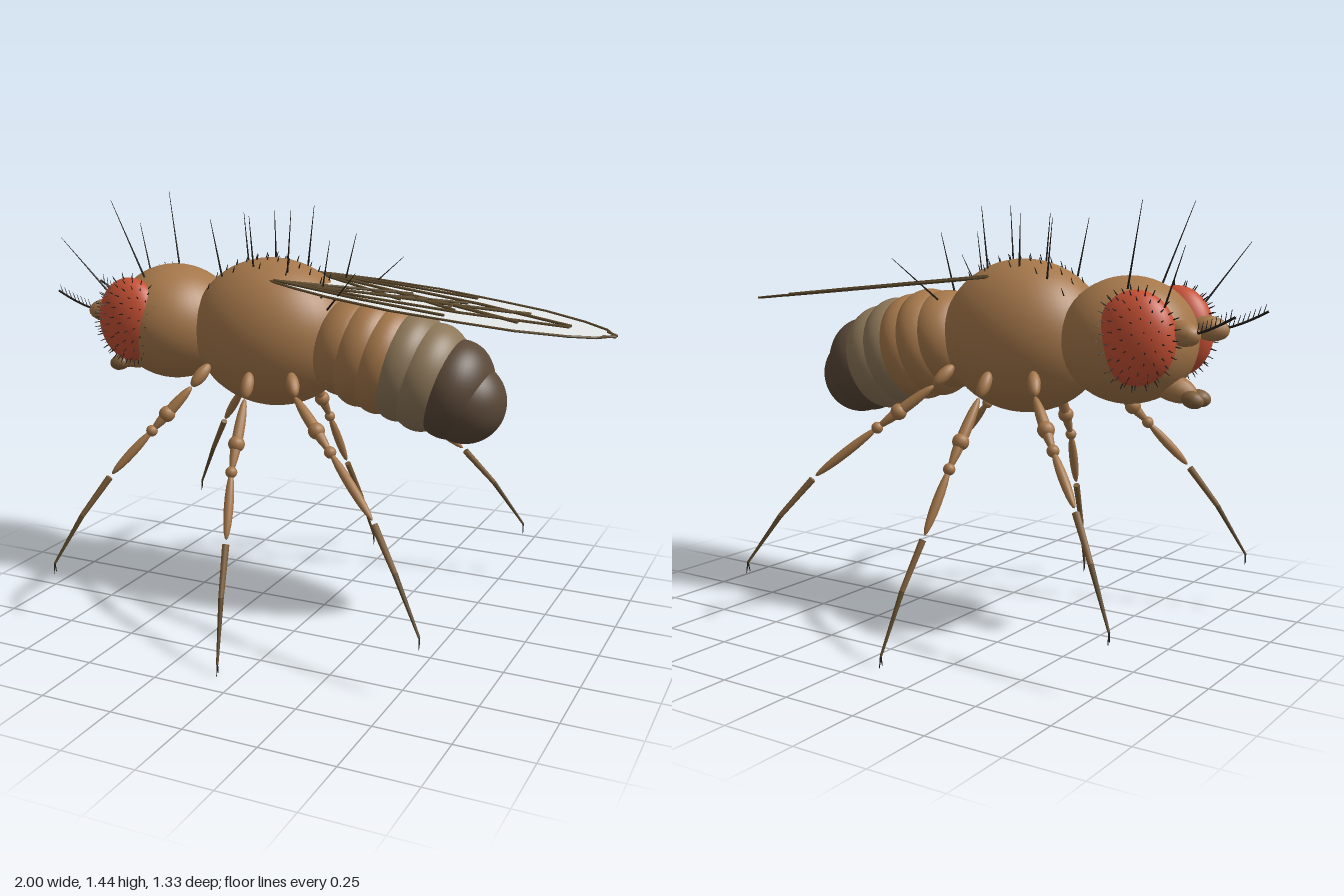
import * as THREE from 'three';

const mat = (name, color, side = THREE.FrontSide) => {
  const m = new THREE.MeshStandardMaterial({ color, side });
  m.name = name;
  return m;
};
const V = (x, y, z) => new THREE.Vector3(x, y, z);
const UP = V(0, 1, 0);

export function createModel() {
  const model = new THREE.Group();
  model.name = 'fly';
  const tan = mat('tan body', 0xa5774a);
  const greyTan = mat('grey tan', 0x8c7658);
  const dark = mat('dark brown', 0x5a4838);
  const red = mat('eye red', 0xc65034);
  const wingMat = mat('wing grey', 0xe3e7e7, THREE.DoubleSide);
  const vein = mat('vein brown', 0x5e4a2c);
  const tarsusMat = mat('tarsus brown', 0x7d5d39);
  const black = mat('bristle black', 0x1e1a16);

  const sphere = new THREE.SphereGeometry(1, 40, 28);
  const smallSphere = new THREE.SphereGeometry(1, 14, 10);

  const add = (parent, name, geo, material) => {
    const m = new THREE.Mesh(geo, material);
    m.name = name;
    parent.add(m);
    return m;
  };
  const group = (name, parent = model) => {
    const g = new THREE.Group();
    g.name = name;
    parent.add(g);
    return g;
  };
  const blob = (parent, name, material, pos, r, geo = sphere) => {
    const m = add(parent, name, geo, material);
    m.position.set(...pos);
    m.scale.set(...r);
    return m;
  };
  // Tapered rod from a to b
  const rod = (parent, name, material, a, b, r0, r1, sides = 5) => {
    const d = b.clone().sub(a);
    const m = add(parent, name, new THREE.CylinderGeometry(r1, r0, d.length(), sides), material);
    m.position.copy(a).add(b).multiplyScalar(0.5);
    m.quaternion.setFromUnitVectors(UP, d.normalize());
    return m;
  };
  // Long ellipsoid from a to b
  const spindle = (parent, name, material, a, b, r) => {
    const d = b.clone().sub(a);
    const m = add(parent, name, smallSphere, material);
    m.position.copy(a).add(b).multiplyScalar(0.5);
    m.scale.set(r, d.length() / 2, r);
    m.quaternion.setFromUnitVectors(UP, d.normalize());
    return m;
  };

  // Head and thorax
  blob(model, 'head', tan, [-0.587, 1.0, 0], [0.225, 0.205, 0.215]);
  blob(model, 'thorax', tan, [-0.195, 0.992, 0], [0.295, 0.258, 0.225]);

  // Abdomen: overlapping tilted segments [x, y, height radius, width radius, half length]
  const abdomen = group('abdomen');
  [
    [0.1, 0.965, 0.172, 0.175, 0.13, tan], [0.17, 0.95, 0.19, 0.19, 0.12, tan],
    [0.24, 0.931, 0.189, 0.189, 0.12, tan], [0.312, 0.914, 0.19, 0.185, 0.12, greyTan],
    [0.387, 0.885, 0.187, 0.178, 0.13, greyTan], [0.473, 0.853, 0.17, 0.163, 0.13, dark],
    [0.512, 0.815, 0.14, 0.133, 0.137, dark],
  ].forEach(([x, y, h, w, l, m], i) => {
    blob(abdomen, 'abdomenSegment' + (i + 1), m, [x, y, 0], [l, h, w]).rotation.z = -0.25;
  });

  // Proboscis
  const mouth = group('proboscis');
  spindle(mouth, 'proboscisBase', tan, V(-0.66, 0.88, 0), V(-0.825, 0.835, 0), 0.045);

  const wingY = (x) => 1.19 - 0.102 * (x + 0.14);
  const outline = [[-0.14, 0.13], [-0.03, 0.17], [0.1, 0.205], [0.33, 0.23], [0.55, 0.21], [0.72, 0.185],
    [0.87, 0.125], [0.95, 0.07], [0.995, -0.01], [0.96, -0.035], [0.84, -0.045], [0.62, -0.08],
    [0.4, -0.08], [0.2, -0.065], [0.02, -0.02]];
  const veins = [
    [[-0.13, 0.125], [0.2, 0.165], [0.49, 0.17]],
    [[-0.13, 0.125], [0.2, 0.12], [0.52, 0.09], [0.85, 0.01]],
    [[-0.1, 0.12], [0.2, 0.055], [0.46, 0.0], [0.7, -0.07]],
    [[-0.1, 0.12], [0.1, 0.03], [0.3, -0.06]],
    [[0.02, 0.11], [0.25, 0.035], [0.49, -0.07]],
    [[0.7, 0.08], [0.46, 0.005], [0.2, -0.055]],
    [[0.46, 0.06], [0.46, 0.0]], [[0.84, 0.015], [0.84, 0.0]],
  ];

  // Leg joints: coxa top, coxa end, knee, tibia end, foot
  const legs = {
    front: [[-0.345, 0.9, 0.19], [-0.385, 0.83, 0.245], [-0.5, 0.68, 0.325], [-0.62, 0.53, 0.4], [-0.8, 0.21, 0.51]],
    middle: [[-0.185, 0.89, 0.2], [-0.178, 0.81, 0.25], [-0.157, 0.595, 0.39], [-0.128, 0.395, 0.485], [-0.077, 0.035, 0.65]],
    rear: [[-0.035, 0.9, 0.19], [0.005, 0.835, 0.245], [0.175, 0.69, 0.335], [0.365, 0.52, 0.435], [0.572, 0.215, 0.555]],
  };

  // Long bristles: root, tip
  const bristles = [
    [[-0.64, 1.17, 0.12], [-0.72, 1.44, 0.19]], [[-0.78, 1.12, 0.15], [-0.89, 1.31, 0.25]],
    [[-0.34, 1.19, 0.1], [-0.37, 1.385, 0.12]], [[-0.225, 1.22, 0.085], [-0.235, 1.4, 0.095]],
    [[-0.1, 1.21, 0.08], [-0.08, 1.425, 0.09]], [[0.03, 1.14, 0.09], [0.07, 1.335, 0.11]],
    [[0.07, 1.11, 0.13], [0.205, 1.25, 0.21]],
  ];

  for (const s of [1, -1]) {
    const side = s > 0 ? 'left' : 'right';
    const P = ([x, y, z]) => V(x, y, s * z);

    // Eye, its rear sunk in the head, with a coat of short bristles
    const eye = group(side + 'Eye');
    eye.position.set(-0.684, 1.022, s * 0.146);
    eye.rotation.y = s * -0.1;
    const er = V(0.13, 0.148, 0.078);
    blob(eye, 'eyeball', red, [0, 0, 0], er.toArray());
    for (let i = 0; i < 100; i++) {
      const c = 1 - (i + 0.5) / 100 * 1.05, a = i * 2.39996, r = Math.sqrt(1 - c * c);
      const n = V(r * Math.cos(a), r * Math.sin(a), s * c);
      const p = n.clone().multiply(er);
      rod(eye, 'eyeBristle', black, p, p.clone().addScaledVector(n.divide(er).normalize(), 0.02), 0.0026, 0.001, 4);
    }

    // Antenna with a feathered arista
    const antenna = group(side + 'Antenna');
    spindle(antenna, 'antennaBase', tan, P([-0.76, 1.05, 0.09]), P([-0.88, 1.03, 0.115]), 0.04);
    const arista = new THREE.QuadraticBezierCurve3(P([-0.86, 1.04, 0.115]), P([-0.92, 1.055, 0.125]), P([-1, 1.1, 0.132]));
    add(antenna, 'arista', new THREE.TubeGeometry(arista, 8, 0.004, 5), black);
    for (let i = 1; i < 9; i++) {
      const p = arista.getPoint(i / 9);
      rod(antenna, 'aristaHair', black, p, p.clone().add(V(-0.008, 0.032, s * 0.006)), 0.0018, 0.0008, 4);
    }

    // Mouth lobe
    spindle(mouth, side + 'MouthLobe', tarsusMat, P([-0.785, 0.835, 0.022]), P([-0.86, 0.82, 0.028]), 0.028);

    // Bristles and rows of short hairs on the thorax
    const hairs = group(side + 'Bristles');
    for (const [a, b] of bristles) rod(hairs, 'bristle', black, P(a), P(b), 0.0036, 0.0008);
    for (const [z, count, step] of [[0.035, 11, 0.04], [0.095, 4, 0.1]]) {
      for (let i = 0; i < count; i++) {
        const x = -0.4 + i * step;
        const y = 0.992 + 0.258 * Math.sqrt(1 - ((x + 0.195) / 0.295) ** 2 - (z / 0.225) ** 2);
        rod(hairs, 'hair', black, V(x, y - 0.005, s * z), V(x + 0.008, y + 0.02, s * z * 1.03), 0.003, 0.001, 4);
      }
    }

    // Wing blade with rim, and veins raised on its upper face
    const wing = group(side + 'Wing');
    const blade = new THREE.ShapeGeometry(new THREE.Shape(outline.map(([x, z]) => new THREE.Vector2(x, z))));
    const pos = blade.attributes.position;
    for (let i = 0; i < pos.count; i++) {
      const x = pos.getX(i), z = pos.getY(i);
      pos.setXYZ(i, x, wingY(x) + s * 0.0005, s * z);
    }
    blade.computeVertexNormals();
    add(wing, 'wingBlade', blade, wingMat);
    const trace = (pts, name, r, lift) => {
      for (let i = 1; i < pts.length; i++) {
        const [a, b] = [pts[i - 1], pts[i]].map(([x, z]) => V(x, wingY(x) + lift, s * z));
        rod(wing, name, vein, a, b, r, r, 6);
      }
    };
    trace(outline.slice(0, 10), 'wingRim', 0.0042, 0.002);
    veins.forEach((v) => trace(v, 'wingVein', 0.0048, 0.006));

    // Legs
    for (const [name, joints] of Object.entries(legs)) {
      const leg = group(side + name[0].toUpperCase() + name.slice(1) + 'Leg');
      const [a, b, knee, d, foot] = joints.map(P);
      const mid = b.clone().lerp(knee, 0.62);
      spindle(leg, 'coxa', tan, a, b, 0.022);
      spindle(leg, 'femur', tan, b, knee, 0.019);
      blob(leg, 'femurBulge', tan, mid.toArray(), [0.028, 0.028, 0.028], smallSphere);
      blob(leg, 'knee', tan, knee.toArray(), [0.02, 0.02, 0.02], smallSphere);
      spindle(leg, 'tibia', tan, knee, d, 0.016);
      const bend = d.clone().lerp(foot, 0.5).add(V(0, 0.015, s * 0.004));
      const start = d.clone().lerp(bend, 0.08);
      rod(leg, 'upperTarsus', tarsusMat, start, bend, 0.012, 0.009, 8);
      rod(leg, 'lowerTarsus', vein, bend, foot, 0.009, 0.004, 8);
      for (const k of [-1, 1]) {
        rod(leg, 'claw', black, foot, foot.clone().add(V(k * 0.004, -0.034, k * 0.013)), 0.003, 0.001, 4);
      }
    }
  }
  return model;
}
